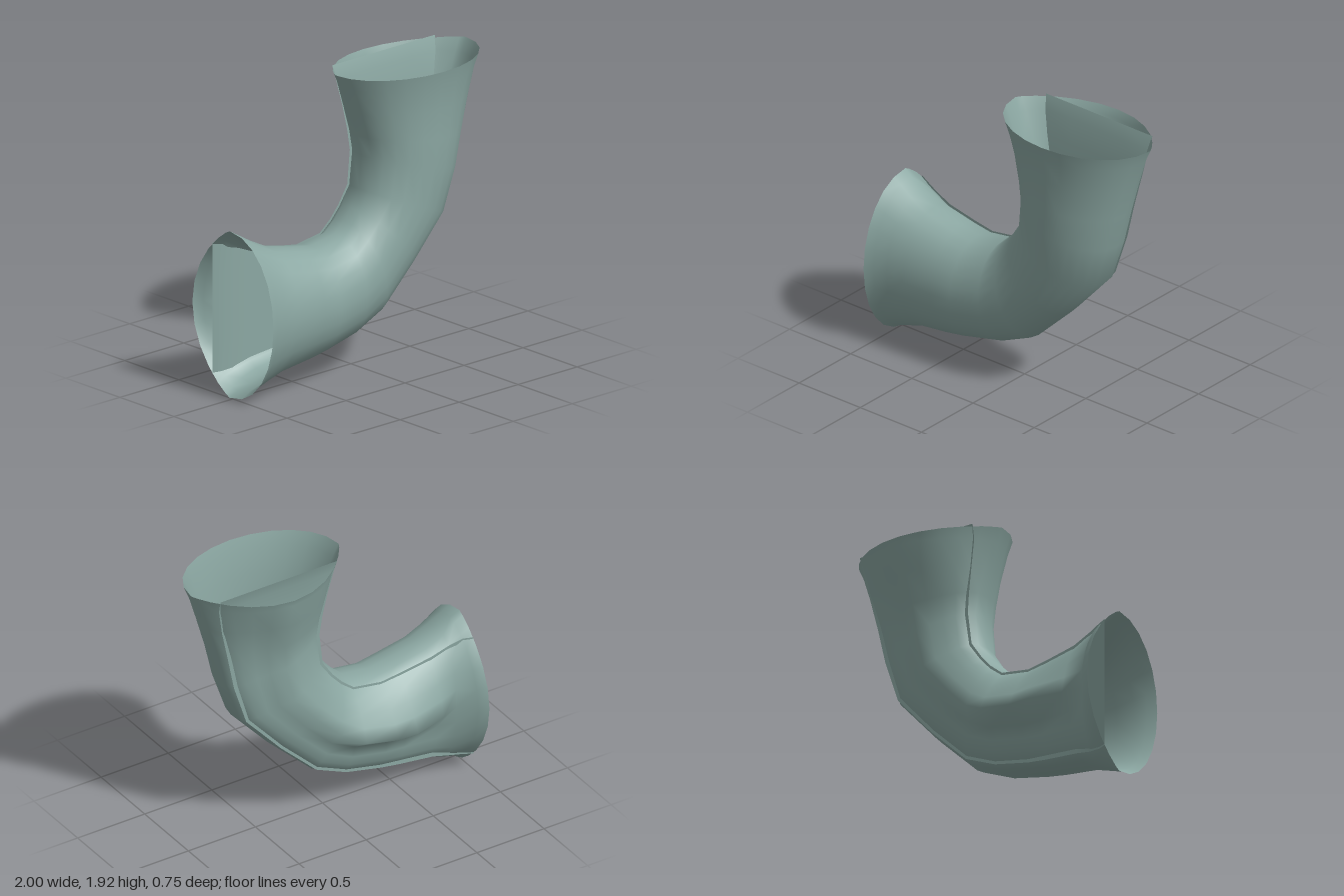
import * as THREE from 'three';

// Cross-sections along the bend: inner edge x, y; outer edge x, y;
// z of the widest line, z of the front, z of the back, sharpness of the back,
// height of the crease running along the back
const SECTIONS = [
  [-1.00, 1.10, -1.00, 0.00, -0.03, 0.375, -0.375, 1.65, 0],
  [-0.94, 1.065, -0.94, 0.035, -0.02, 0.35, -0.34, 1.45, 0],
  [-0.85, 1.01, -0.85, 0.07, 0.00, 0.33, -0.23, 0.8, 0],
  [-0.72, 0.945, -0.74, 0.11, 0.01, 0.32, -0.20, 0.7, 0.07],
  [-0.50, 0.895, -0.50, 0.145, 0.02, 0.315, -0.19, 0.65, 0.14],
  [-0.36, 0.87, -0.36, 0.17, 0.02, 0.31, -0.19, 0.65, 0.135],
  [-0.16, 0.90, -0.10, 0.23, 0.02, 0.30, -0.19, 0.65, 0.12],
  [-0.08, 0.97, 0.13, 0.33, 0.02, 0.29, -0.19, 0.65, 0.06],
  [-0.02, 1.04, 0.40, 0.59, 0.02, 0.29, -0.19, 0.65, 0.04],
  [0.05, 1.15, 0.67, 0.89, 0.02, 0.30, -0.19, 0.65, 0.045],
  [0.07, 1.37, 0.77, 1.18, 0.02, 0.32, -0.19, 0.65, 0.04],
  [0.045, 1.50, 0.83, 1.42, 0.01, 0.325, -0.21, 0.75, 0.04],
  [0.00, 1.66, 0.90, 1.65, 0.00, 0.33, -0.29, 1.1, 0.03],
  [-0.06, 1.83, 0.96, 1.83, -0.02, 0.355, -0.355, 1.5, 0],
  [-0.10, 1.92, 1.00, 1.92, -0.03, 0.375, -0.375, 1.65, 0],
];

// Skin a grid of points; each row is one cross-section
function skin(rows, closed) {
  const n = rows[0].length;
  const index = [];
  for (let i = 0; i < rows.length - 1; i++) {
    for (let j = 0; j < (closed ? n : n - 1); j++) {
      const k = (j + 1) % n;
      const a = i * n + j, b = i * n + k, c = a + n, d = b + n;
      index.push(a, b, c, b, d, c);
    }
  }
  const geometry = new THREE.BufferGeometry();
  geometry.setAttribute('position', new THREE.Float32BufferAttribute(rows.flat(2), 3));
  geometry.setIndex(index);
  geometry.computeVertexNormals();
  return geometry;
}

// Point across a section: t = -1 at the inner edge, 1 at the outer edge
function across([ix, iy, ox, oy], t, z) {
  const k = (t + 1) / 2;
  return [ix + (ox - ix) * k, iy + (oy - iy) * k, z];
}

export function createModel() {
  const group = new THREE.Group();
  group.name = 'elbowPipe';
  const pipe = new THREE.MeshStandardMaterial({ color: 0x8ca8a3, side: THREE.DoubleSide });
  pipe.name = 'greyGreen';
  const last = SECTIONS.length - 1;

  // Flared tube, open at both ends, with a flattened and creased back
  const SIDES = 24;
  const rings = SECTIONS.map((s, i) => {
    const [, , , , mid, front, back, sharp, crease] = s;
    return Array.from({ length: SIDES }, (_, j) => {
      const a = (j / SIDES) * Math.PI * 2;
      const w = Math.sin(a), t = -Math.cos(a);
      if (w >= 0) return across(s, t, mid + (front - mid) * w ** 0.95);
      // The crease slopes gently to the inner side and steeply to the outer
      const slope = Math.max(0, 1 - Math.abs(t) / (t < 0 ? 0.9 : 0.25));
      const p = across(s, t, mid + (back - mid) * (-w) ** sharp - crease * slope);
      // The upper rim dips slightly at the back
      if (i === last) p[1] -= 0.04 * w * w;
      return p;
    });
  });
  const tube = new THREE.Mesh(skin(rings, true), pipe);
  tube.name = 'tube';
  group.add(tube);

  // Thin lining wall running along the inside of the back
  const wallRows = SECTIONS.map((s, i) => {
    const end = Math.abs(i / last - 0.5) * 2;
    const z = -0.115 - 0.075 * end ** 3;
    const width = 0.92 - 0.13 * end ** 3;
    return [-1, -0.5, 0, 0.5, 1].map((t) => across(s, t * width, z));
  });
  const wall = new THREE.Mesh(skin(wallRows, false), pipe);
  wall.name = 'innerBackWall';
  group.add(wall);

  return group;
}
